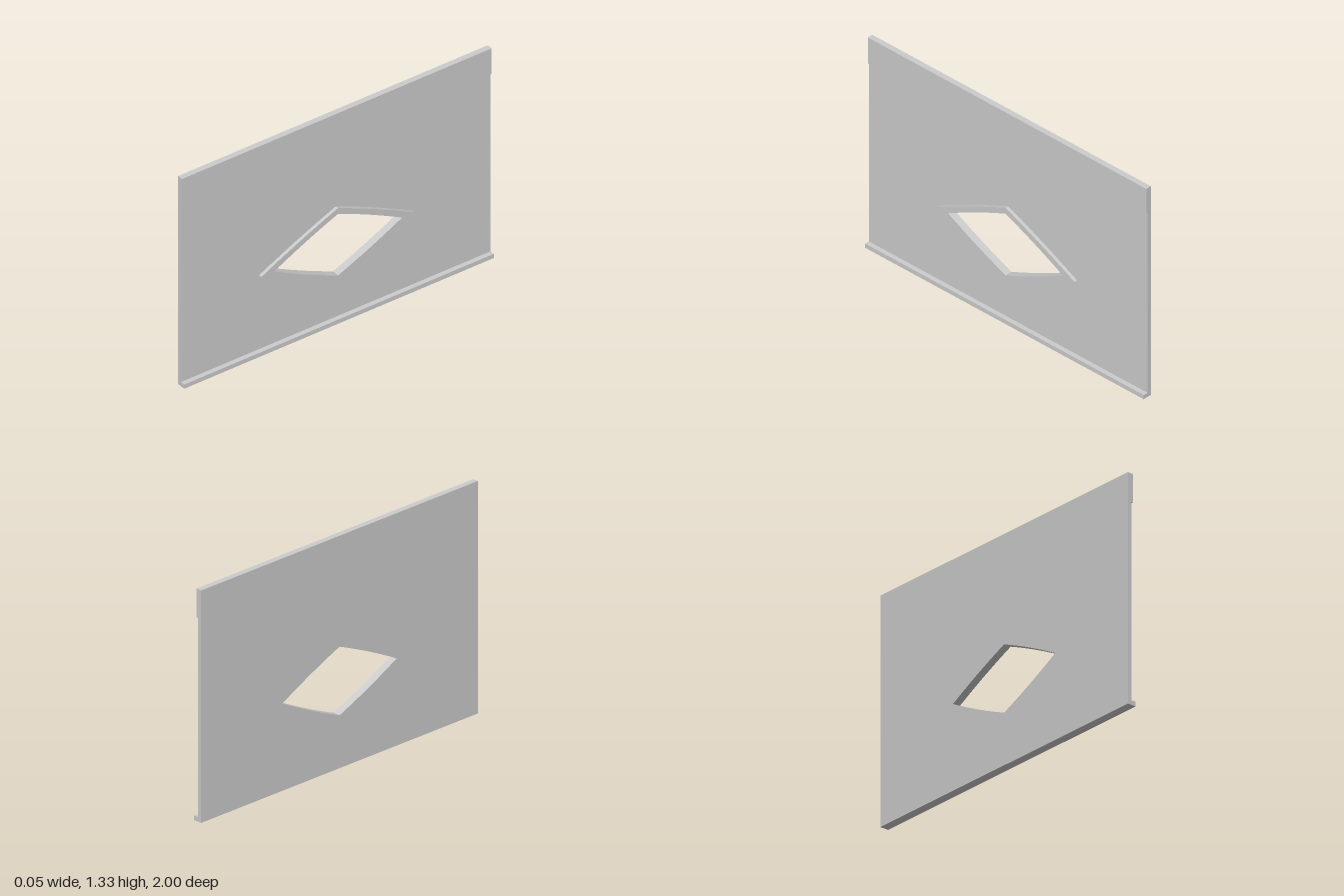
import * as THREE from 'three';

const LENGTH = 2, HEIGHT = 1.333, CENTRE_Y = 0.5;
const BACK = -0.0267, FACE = -0.0017; // panel faces along x

// Diamond outline with very slightly bowed sides
function traceDiamond(path, halfW, halfH, bow = 0.012) {
  const corners = [[halfW, 0], [0, halfH], [-halfW, 0], [0, -halfH]];
  path.moveTo(halfW, CENTRE_Y);
  corners.forEach(([ax, ay], i) => {
    const [bx, by] = corners[(i + 1) % 4];
    const mx = (ax + bx) / 2, my = (ay + by) / 2;
    path.quadraticCurveTo(
      mx + Math.sign(mx) * bow * 0.42, CENTRE_Y + my + Math.sign(my) * bow * 0.9,
      bx, CENTRE_Y + by);
  });
  return path;
}

export function createModel() {
  const group = new THREE.Group();
  const material = new THREE.MeshStandardMaterial({ color: 0xcccccc, flatShading: true });

  const add = (name, geometry) => {
    const mesh = new THREE.Mesh(geometry, material);
    mesh.name = name;
    group.add(mesh);
    return mesh;
  };

  // Extrude a side profile along +x from x0 to x1
  const slab = (name, shape, x0, x1) => {
    const geometry = new THREE.ExtrudeGeometry(shape, { depth: x1 - x0, bevelEnabled: false, curveSegments: 6 });
    geometry.rotateY(Math.PI / 2).translate(x0, 0, 0);
    return add(name, geometry);
  };

  // Full-length strip standing proud of the panel face
  const strip = (name, x1, y0, y1) => {
    const geometry = new THREE.BoxGeometry(x1 - FACE, y1 - y0, LENGTH);
    geometry.translate((FACE + x1) / 2, (y0 + y1) / 2, 0);
    return add(name, geometry);
  };

  const opening = () => traceDiamond(new THREE.Path(), 0.413, 0.197);

  // Wall panel with diamond opening
  const wall = new THREE.Shape([
    new THREE.Vector2(-LENGTH / 2, 0), new THREE.Vector2(LENGTH / 2, 0),
    new THREE.Vector2(LENGTH / 2, HEIGHT), new THREE.Vector2(-LENGTH / 2, HEIGHT),
  ]);
  wall.holes.push(opening());
  slab('wallPanel', wall, BACK, FACE);

  // Raised frame around the opening
  const frame = traceDiamond(new THREE.Shape(), 0.495, 0.234);
  frame.holes.push(opening());
  slab('windowFrame', frame, FACE, 0.0183);

  // Upper band and bottom skirting
  strip('upperBand', 0.0075, 1.168, HEIGHT);
  strip('skirting', 0.0267, 0, 0.0267);

  return group;
}
